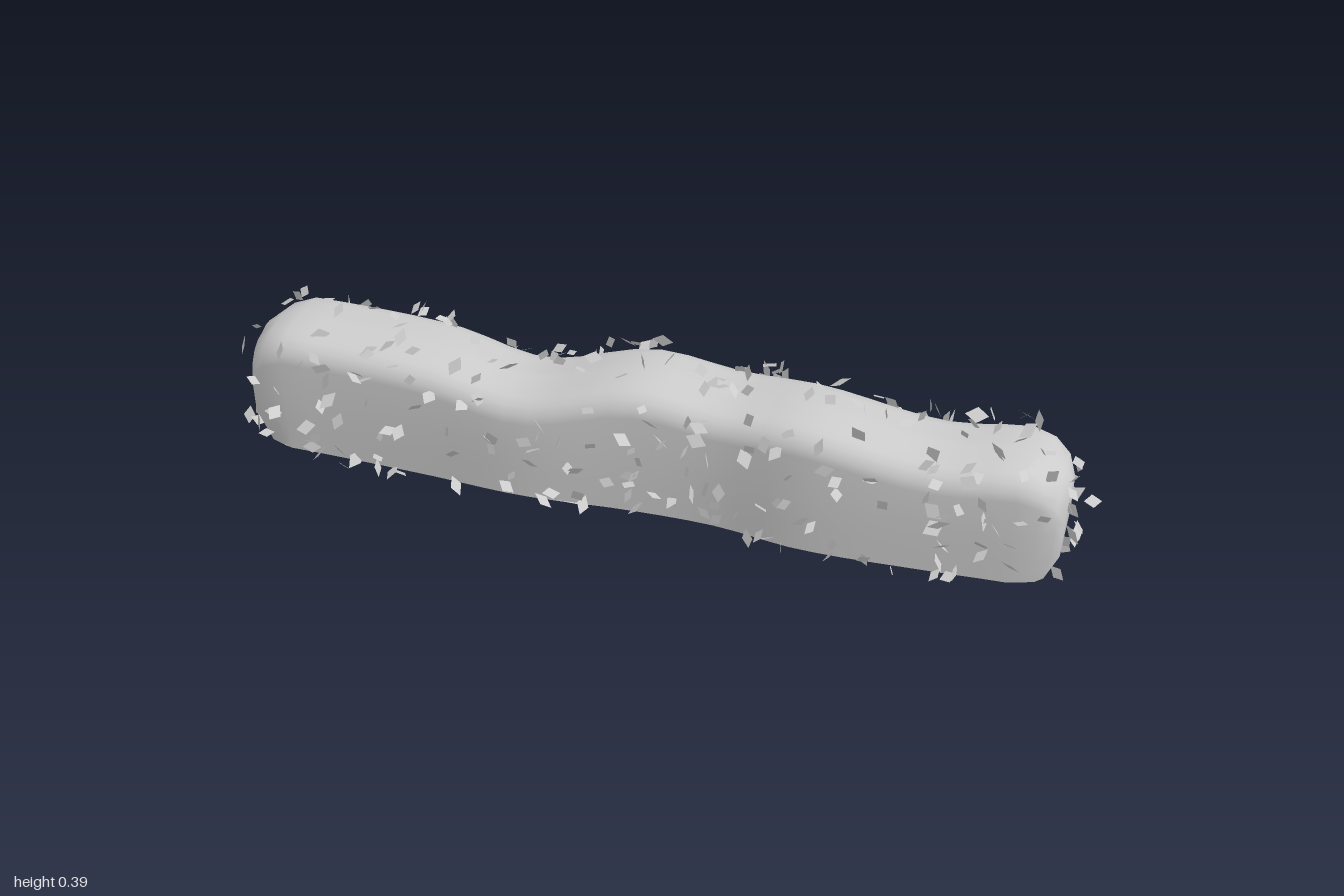
import * as THREE from 'three';

export function createModel() {
  const group = new THREE.Group();
  group.name = 'hedge';
  const grey = new THREE.MeshStandardMaterial({ color: 0xcccccc, side: THREE.DoubleSide });
  grey.name = 'foliage grey';

  let seed = 7;
  const rand = () => {
    seed = (seed * 16807) % 2147483647;
    return seed / 2147483647;
  };
  const add = (geo, name) => {
    const mesh = new THREE.Mesh(geo, grey);
    mesh.name = name;
    group.add(mesh);
    return mesh;
  };

  // Wavy outline along the length: x, then top height, back z, front z
  const keys = [
    [-0.96, 0.34, -0.13, 0.11], [-0.8, 0.34, -0.135, 0.108], [-0.5, 0.33, -0.13, 0.115],
    [-0.28, 0.30, -0.11, 0.125], [-0.02, 0.358, -0.132, 0.106], [0.18, 0.335, -0.135, 0.105],
    [0.36, 0.353, -0.11, 0.13], [0.65, 0.31, -0.115, 0.122], [0.82, 0.32, -0.135, 0.112],
    [0.96, 0.32, -0.135, 0.11],
  ];
  const outline = new THREE.CubicInterpolant(keys.map(k => k[0]), keys.flatMap(k => k.slice(1)), 3);

  // Stations along the hedge; the ends taper in height and width
  const stations = [[-0.95, 0.76, 0.66], [-0.935, 0.87, 0.82], [-0.9, 0.95, 0.94]];
  for (let i = 0; i <= 28; i++) stations.push([-0.85 + i * 0.06, 1, 1]);
  stations.push([0.88, 0.96, 0.95], [0.915, 0.88, 0.84], [0.932, 0.76, 0.7]);

  // Shell: arched sections, open underneath
  const base = 0.037, half = 9, N = half * 2;
  const pos = [], index = [];
  stations.forEach(([x, sh, sw], i) => {
    const [top, zb, zf] = outline.evaluate(x);
    const mid = (zb + zf) / 2, w = (zf - zb) / 2 * sw, h = base + (top - base) * sh;
    const r = 0.055 + 0.03 * (1 - sh) / 0.25;
    const side = [[0.95 * w, base], [0.98 * w, base + 0.07], [w, base + 0.14]];
    for (let a = 0; a < 5; a++) {
      const t = a / 4 * Math.PI / 2;
      side.push([w - r + r * Math.cos(t), h - r - 0.006 + r * Math.sin(t)]);
    }
    side.push([0.01, h]);
    const ring = [...side.map(([z, y]) => [z, y]), ...side.map(([z, y]) => [-z, y]).reverse()];
    for (const [z, y] of ring) {
      const tuck = 1 - 0.03 * Math.max(0, 1 - (y - base) / 0.07) * (Math.abs(x) > 0.87 ? 1 : 0);
      pos.push(x * tuck, y, mid + z);
    }
    if (i) for (let j = 0; j < N - 1; j++) {
      const a = (i - 1) * N + j, b = i * N + j;
      index.push(a, b, b + 1, a, b + 1, a + 1);
    }
  });
  // Rounded ends closed by strips across the section
  const last = (stations.length - 1) * N;
  for (let j = 0; j < half - 1; j++) {
    const k = N - 1 - j;
    index.push(j, j + 1, k - 1, j, k - 1, k);
    index.push(last + j, last + k - 1, last + j + 1, last + j, last + k, last + k - 1);
  }
  const shell = new THREE.BufferGeometry();
  shell.setAttribute('position', new THREE.Float32BufferAttribute(pos, 3));
  shell.setIndex(index);
  shell.computeVertexNormals();
  add(shell, 'hedgeBody');

  // Leaves: small diamonds scattered by area just off the shell
  const P = i => new THREE.Vector3(pos[3 * i], pos[3 * i + 1], pos[3 * i + 2]);
  const cumulative = [];
  let total = 0;
  for (let t = 0; t < index.length; t += 3) {
    total += new THREE.Triangle(P(index[t]), P(index[t + 1]), P(index[t + 2])).getArea();
    cumulative.push(total);
  }
  const leafPos = [], leafIndex = [];
  const dir = () => new THREE.Vector3(rand() - 0.5, rand() - 0.5, rand() - 0.5).normalize();
  const addLeaf = (c, n) => {
    const u = dir().cross(n).normalize();
    const v = new THREE.Vector3().crossVectors(n, u);
    const L = 0.018 + rand() * 0.009, W = L * (0.55 + rand() * 0.2);
    const first = leafPos.length / 3;
    for (const [a, b] of [[-L, 0], [0, -W], [L, 0], [0, W]]) {
      leafPos.push(...c.clone().addScaledVector(u, a).addScaledVector(v, b).toArray());
    }
    leafIndex.push(first, first + 1, first + 2, first, first + 2, first + 3);
  };
  for (let i = 0; i < 420; i++) {
    const pick = rand() * total;
    const t = 3 * cumulative.findIndex(c => c >= pick);
    const tri = new THREE.Triangle(P(index[t]), P(index[t + 1]), P(index[t + 2]));
    let a = rand(), b = rand();
    if (a + b > 1) { a = 1 - a; b = 1 - b; }
    const c = tri.a.clone().addScaledVector(tri.b.clone().sub(tri.a), a)
      .addScaledVector(tri.c.clone().sub(tri.a), b);
    const normal = tri.getNormal(new THREE.Vector3());
    c.addScaledVector(normal, 0.004 + rand() * 0.026);
    addLeaf(c, normal.multiplyScalar(0.6).add(dir()).normalize());
  }
  // Outermost leaves at both ends
  addLeaf(new THREE.Vector3(-0.98, 0.07, 0.05), new THREE.Vector3(0.4, 0.3, 1).normalize());
  addLeaf(new THREE.Vector3(0.98, 0.2, -0.02), new THREE.Vector3(0.3, 0.8, 0.5).normalize());
  const leaves = new THREE.BufferGeometry();
  leaves.setAttribute('position', new THREE.Float32BufferAttribute(leafPos, 3));
  leaves.setIndex(leafIndex);
  const flatLeaves = leaves.toNonIndexed();
  flatLeaves.computeVertexNormals();
  add(flatLeaves, 'leaves');

  // Patches partly covering the open underside
  const patches = [[0.69, 0, 0.12, 0.1], [0.51, 0.08, 0.2, 0.06], [0.17, -0.03, 0.14, 0.1],
    [-0.2, 0.085, 0.12, 0.06], [-0.48, -0.03, 0.2, 0.12], [-0.79, 0.05, 0.16, 0.1]];
  for (const [x, z, w, d] of patches) {
    const patch = add(new THREE.PlaneGeometry(w, d).rotateX(Math.PI / 2), 'undersidePatch');
    patch.position.set(x, base + 0.002, z);
  }

  // Row of short leaning stems
  const stemX = [-0.84, -0.62, -0.42, -0.23, -0.04, 0.2, 0.41, 0.6, 0.84];
  stemX.forEach((x, i) => {
    const stem = add(new THREE.CylinderGeometry(0.006, 0.009, 0.09, 7), 'stem');
    stem.position.set(x, 0.0465, 0);
    stem.rotation.x = [-0.25, 0.12, 0.28, -0.1][i % 4];
    stem.rotation.z = [0.05, -0.06, 0.02][i % 3];
  });
  return group;
}
